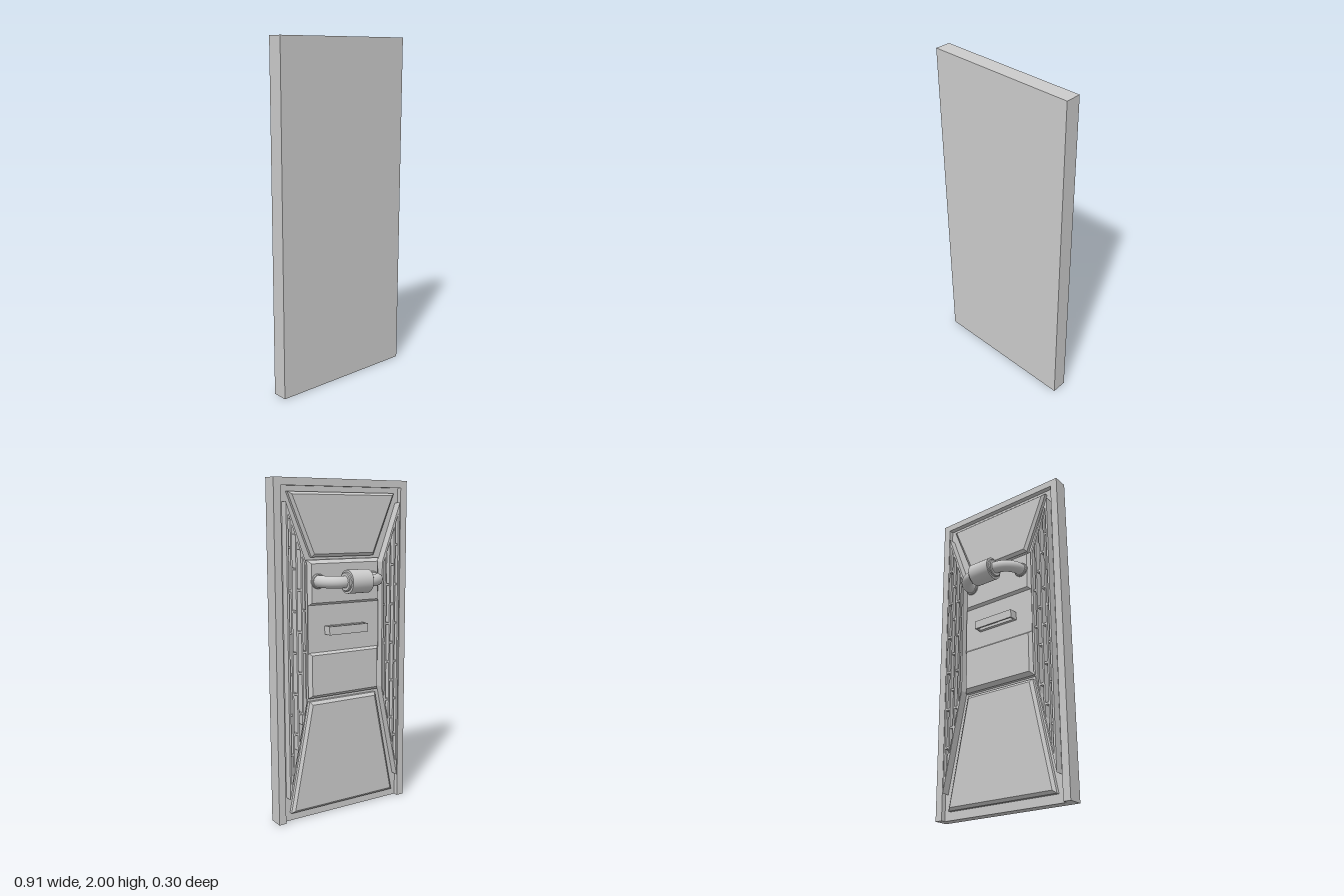
import * as THREE from 'three';
import { toCreasedNormals } from 'three/addons/utils/BufferGeometryUtils.js';

const material = new THREE.MeshStandardMaterial({ color: 0xcccccc });

// depths in the back group, where local +z points out of the back face
const FLOOR = -0.085, RIM = -0.055;
const MID_Y = 1.425;

function add(parent, name, geometry, x = 0, y = 0, z = 0) {
  const mesh = new THREE.Mesh(geometry, material);
  mesh.name = name;
  mesh.position.set(x, y, z);
  parent.add(mesh);
  return mesh;
}

function box(parent, name, x0, x1, y0, y1, z0, z1) {
  const g = new THREE.BoxGeometry(Math.abs(x1 - x0), y1 - y0, z1 - z0);
  return add(parent, name, g, (x0 + x1) / 2, (y0 + y1) / 2, (z0 + z1) / 2);
}

const vectors = (pts) => pts.map(([x, y]) => new THREE.Vector2(x, y));

// flat outline extruded from z0 to z1, with an optional hole
function slab(parent, name, pts, z0, z1, hole) {
  const shape = new THREE.Shape(vectors(pts));
  if (hole) shape.holes.push(new THREE.Path(vectors(hole)));
  const g = new THREE.ExtrudeGeometry(shape, { depth: z1 - z0, bevelEnabled: false });
  return add(parent, name, g, 0, 0, z0);
}

// symmetric four-sided plate with a sloping rim
function plate(parent, name, halfTop, yTop, halfBottom, yBottom, top, bevel, rise) {
  const shape = new THREE.Shape(vectors([
    [-halfBottom, yBottom], [halfBottom, yBottom], [halfTop, yTop], [-halfTop, yTop]]));
  const g = new THREE.ExtrudeGeometry(shape, {
    depth: top - rise - FLOOR, bevelEnabled: true, bevelSegments: 1,
    bevelSize: bevel, bevelOffset: -bevel, bevelThickness: rise });
  return add(parent, name, g, 0, 0, FLOOR);
}

function sideGrille(parent, s) {
  const group = new THREE.Group();
  group.name = s > 0 ? 'rightGrille' : 'leftGrille';
  parent.add(group);
  const xIn = 0.262, xOut = 0.39;
  const topAt = (x) => 1.52 + (x - xIn) / (xOut - xIn) * 0.35;
  const bottomAt = (x) => 0.75 - (x - xIn) / (xOut - xIn) * 0.6;
  const outline = (a, b, inset) => [
    [s * a, bottomAt(a) + inset], [s * b, bottomAt(b) + inset],
    [s * b, topAt(b) - inset], [s * a, topAt(a) - inset]];
  slab(group, 'grilleFrame', outline(xIn, xOut, 0), FLOOR, -0.035,
    outline(xIn + 0.012, xOut - 0.012, 0.035));

  // upright bars, then staggered cross bars between them
  const bars = 4, pitch = (xOut - xIn) / bars;
  for (let i = 1; i < bars; i++) {
    const x = xIn + i * pitch;
    slab(group, 'uprightBar', outline(x - 0.005, x + 0.005, 0.015), FLOOR, -0.04);
  }
  for (let i = 0; i < bars; i++) {
    const a = xIn + i * pitch, b = a + pitch;
    for (let y = 0.3 + (i % 2) * 0.12; y < 1.8; y += 0.24) {
      if (y > bottomAt(a) + 0.03 && y < topAt(a) - 0.03)
        box(group, 'crossBar', s * a, s * b, y - 0.006, y + 0.006, FLOOR, -0.043);
    }
  }
}

function pullHandle(parent) {
  const group = new THREE.Group();
  group.name = 'pullHandle';
  group.position.y = MID_Y;
  parent.add(group);
  const axis = 0.082, bend = 0.1;

  for (const s of [-1, 1]) {
    // bent pipe arm running from the plate to the grip
    const path = new THREE.CurvePath();
    const v = (x, z) => new THREE.Vector3(s * x, 0, z);
    const k = bend * 0.448;
    path.add(new THREE.LineCurve3(v(0.19, -0.05), v(0.19, axis - bend)));
    path.add(new THREE.CubicBezierCurve3(v(0.19, axis - bend), v(0.19, axis - k),
      v(0.09 + k, axis), v(0.09, axis)));
    path.add(new THREE.LineCurve3(v(0.09, axis), v(0.06, axis)));
    add(group, 'handleArm', new THREE.TubeGeometry(path, 40, 0.035, 28, false));

    const flange = new THREE.LatheGeometry(vectors([
      [0, -0.05], [0.043, -0.05], [0.043, -0.03], [0.039, -0.025], [0, -0.025]]), 32);
    flange.rotateX(Math.PI / 2);
    add(group, 'handleFlange', toCreasedNormals(flange, 0.5), s * 0.19);
  }

  // grip with a stepped collar at each end
  const half = [[0.035, 0.084], [0.05, 0.084], [0.055, 0.079], [0.055, 0.07], [0.068, 0.07]];
  const profile = [...half.map(([r, h]) => [r, -h]), ...half.reverse()];
  const grip = new THREE.LatheGeometry(vectors(profile), 40);
  grip.rotateZ(-Math.PI / 2);
  add(group, 'handleGrip', toCreasedNormals(grip, 0.5), 0, 0, axis);
}

function letterBox(parent) {
  const group = new THREE.Group();
  group.name = 'smallBox';
  parent.add(group);
  // open at top and bottom, with a shelf halfway
  const y0 = 1.112, y1 = 1.162;
  box(group, 'boxFront', -0.135, 0.135, y0, y1, -0.01, 0);
  box(group, 'boxBack', -0.135, 0.135, y0, y1, -0.06, -0.036);
  for (const s of [-1, 1])
    box(group, 'boxEnd', s * 0.125, s * 0.135, y0, y1, -0.036, -0.01);
  box(group, 'boxShelf', -0.125, 0.125, 1.13, 1.144, -0.036, -0.01);
}

export function createModel() {
  const model = new THREE.Group();
  model.name = 'door';

  // everything is laid out facing the back
  const back = new THREE.Group();
  back.name = 'backFace';
  back.rotation.y = Math.PI;
  model.add(back);

  // door leaf and the raised border, open along the bottom
  box(back, 'doorLeaf', -0.455, 0.455, 0, 2, -0.147, FLOOR);
  slab(back, 'border', [
    [-0.455, 0], [-0.41, 0], [-0.41, 1.957], [0.41, 1.957],
    [0.41, 0], [0.455, 0], [0.455, 2], [-0.455, 2]], FLOOR, RIM);

  // tapering upper and lower panels
  plate(back, 'upperPanel', 0.365, 1.925, 0.215, 1.56, -0.05, 0.018, 0.015);
  plate(back, 'lowerPanel', 0.235, 0.715, 0.368, 0.05, -0.05, 0.018, 0.015);

  // central column: two bevelled plates with a lower one between
  plate(back, 'handlePlate', 0.25, 1.545, 0.25, 1.28, -0.038, 0.02, 0.025);
  plate(back, 'middlePlate', 0.25, 1.29, 0.25, 1.0, -0.055, 0.003, 0.003);
  plate(back, 'lowerPlate', 0.25, 1.015, 0.25, 0.735, -0.038, 0.02, 0.025);

  for (const s of [-1, 1]) sideGrille(back, s);
  letterBox(back);
  pullHandle(back);
  return model;
}
